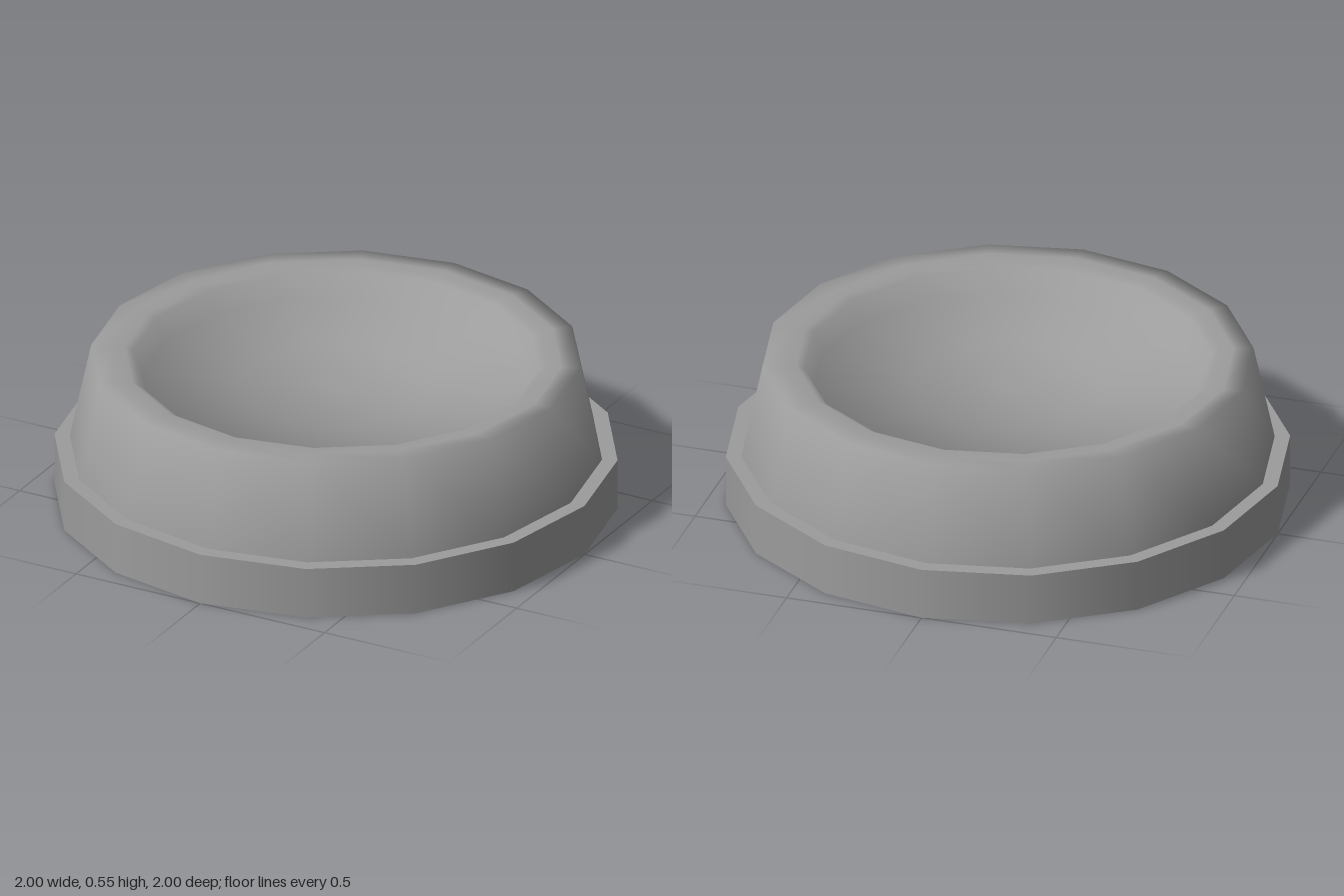
import * as THREE from 'three';

const SIDES = 16;

// Lathe from rings of [radius, height, outward tilt of the normal in degrees]
function softLathe(rings) {
  const geometry = new THREE.LatheGeometry(rings.map(([r, y]) => new THREE.Vector2(r, y)), SIDES);
  const normal = geometry.attributes.normal;
  for (let i = 0; i < normal.count; i++) {
    const turn = (Math.floor(i / rings.length) / SIDES) * Math.PI * 2;
    const tilt = THREE.MathUtils.degToRad(rings[i % rings.length][2]);
    normal.setXYZ(i, Math.sin(tilt) * Math.sin(turn), Math.cos(tilt), Math.sin(tilt) * Math.cos(turn));
  }
  return geometry;
}

export function createModel() {
  const group = new THREE.Group();
  const material = new THREE.MeshStandardMaterial({ color: 0x9c9c9c });

  const add = (name, geometry, y = 0) => {
    const mesh = new THREE.Mesh(geometry, material);
    mesh.name = name;
    mesh.position.y = y;
    group.add(mesh);
  };

  // Wide foot ring with a flat underside
  const baseHeight = 0.19;
  add('base', new THREE.CylinderGeometry(1, 1, baseHeight, SIDES), baseHeight / 2);

  add('bowl', softLathe([
    [0.945, baseHeight, 78], [0.87, 0.545, 50], // tapered outer wall
    [0.8, 0.545, 0], [0.75, 0.545, -5], // flat rim
    [0.723, 0.53, -28], [0.69, 0.45, -38], // short inner wall
    [0.35, 0.43, -19], [0, 0.42, 0], // shallow floor
  ]));

  return group;
}
